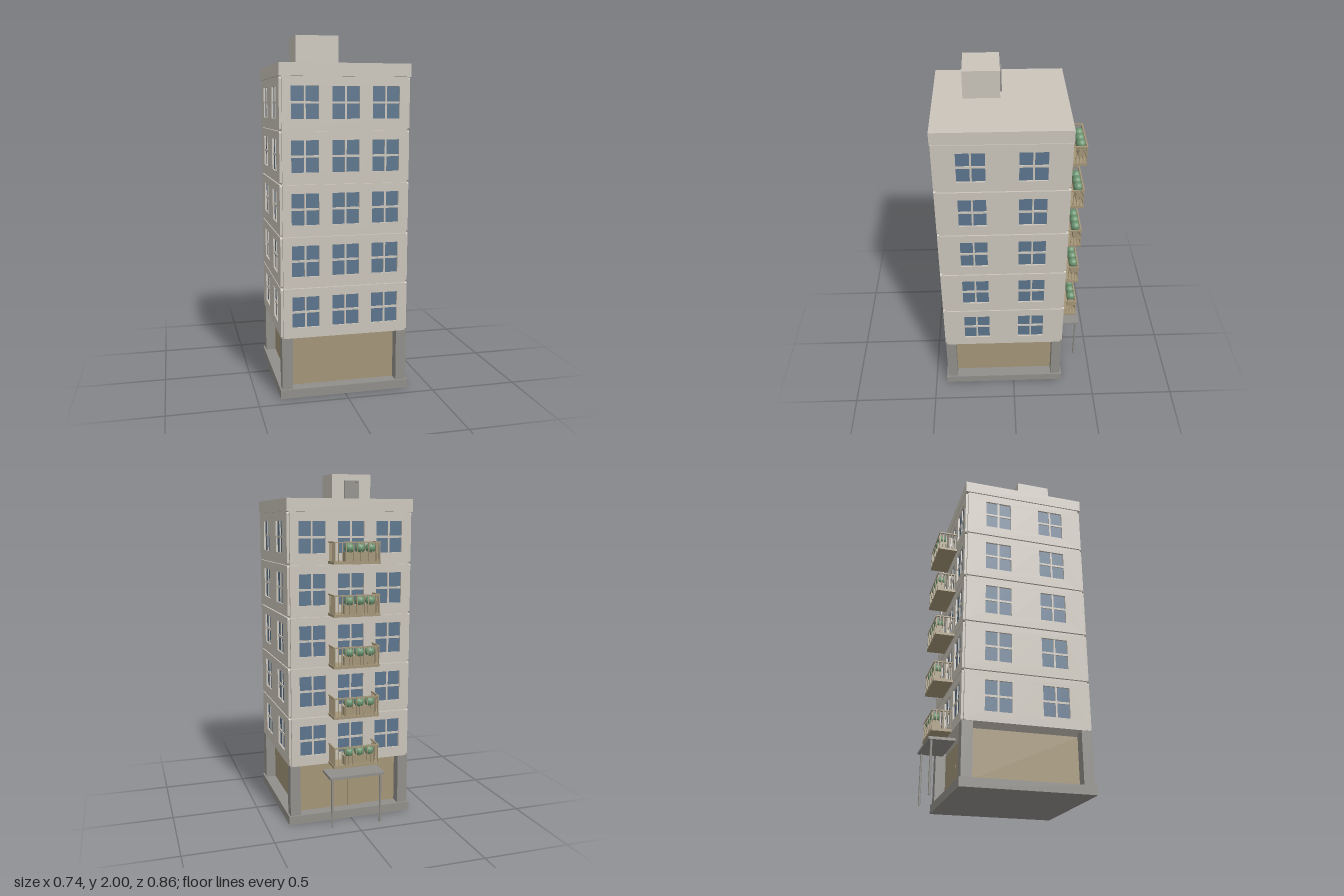
import * as THREE from 'three';

const mat = (name, color) => {
  const m = new THREE.MeshStandardMaterial({ color });
  m.name = name;
  return m;
};

export function createModel() {
  const wall = mat('wall', 0xcac4ba);
  const concrete = mat('concrete', 0x918f8a);
  const tan = mat('tan', 0xa39578);
  const glass = mat('glass', 0x5b748c);
  const leaf = mat('leaf', 0x6a9470);

  const root = new THREE.Group();
  root.name = 'apartmentTower';

  const group = (parent, name) => {
    const g = new THREE.Group();
    g.name = name;
    parent.add(g);
    return g;
  };
  const add = (parent, name, geo, m, x, y, z) => {
    const mesh = new THREE.Mesh(geo, m);
    mesh.name = name;
    mesh.position.set(x, y, z);
    parent.add(mesh);
    return mesh;
  };
  // Box given by its min and max on each axis
  const box = (parent, name, m, x0, x1, y0, y1, z0, z1) =>
    add(parent, name, new THREE.BoxGeometry(x1 - x0, y1 - y0, z1 - z0), m,
      (x0 + x1) / 2, (y0 + y1) / 2, (z0 + z1) / 2);

  // Building block, centred on its own axis
  const tower = group(root, 'tower');
  tower.position.z = 0.06;
  box(tower, 'base', concrete, -0.37, 0.37, 0, 0.05, -0.37, 0.37);
  box(tower, 'lobby', tan, -0.3, 0.3, 0.05, 0.325, -0.3, 0.3);
  for (const sx of [-1, 1]) for (const sz of [-1, 1]) {
    add(tower, 'cornerColumn', new THREE.BoxGeometry(0.06, 0.295, 0.06), concrete, sx * 0.33, 0.1975, sz * 0.33);
  }
  box(tower, 'core', wall, -0.35, 0.35, 0.345, 1.78, -0.35, 0.35);
  box(tower, 'parapet', wall, -0.365, 0.365, 1.775, 1.845, -0.365, 0.365);

  // Rounded storey panel with window openings
  const W = 0.7, H = 0.28, WIN_W = 0.152, WIN_H = 0.174, WIN_Y = 0.146;
  const panelGeometry = (xs) => {
    const s = new THREE.Shape(), a = W / 2, r = 0.01;
    s.moveTo(-a + r, 0);
    s.lineTo(a - r, 0);
    s.quadraticCurveTo(a, 0, a, r);
    s.lineTo(a, H - r);
    s.quadraticCurveTo(a, H, a - r, H);
    s.lineTo(-a + r, H);
    s.quadraticCurveTo(-a, H, -a, H - r);
    s.lineTo(-a, r);
    s.quadraticCurveTo(-a, 0, -a + r, 0);
    for (const x of xs) {
      const h = new THREE.Path();
      const l = x - WIN_W / 2, t = WIN_Y + WIN_H / 2;
      h.moveTo(l, t - WIN_H);
      h.lineTo(l, t);
      h.lineTo(l + WIN_W, t);
      h.lineTo(l + WIN_W, t - WIN_H);
      h.closePath();
      s.holes.push(h);
    }
    return new THREE.ExtrudeGeometry(s, { depth: 0.013, bevelEnabled: false, curveSegments: 4 });
  };
  const wideXs = [-0.225, 0, 0.225], sideXs = [-0.163, 0.163];
  const wideGeo = panelGeometry(wideXs), sideGeo = panelGeometry(sideXs);
  const STOREY = 0.2865, FIRST = 0.345;

  // Four facades, five storeys each
  ['front', 'left', 'back', 'right'].forEach((side, k) => {
    const facade = group(tower, side + 'Facade');
    facade.rotation.y = k * Math.PI / 2;
    const xs = k % 2 ? sideXs : wideXs;
    for (let i = 0; i < 5; i++) {
      const y = FIRST + i * STOREY, c = y + WIN_Y;
      add(facade, 'storeyPanel', k % 2 ? sideGeo : wideGeo, wall, 0, y, 0.35);
      for (const x of xs) {
        add(facade, 'windowGlass', new THREE.BoxGeometry(WIN_W, WIN_H, 0.004), glass, x, c, 0.35);
        add(facade, 'mullion', new THREE.BoxGeometry(0.01, WIN_H, 0.008), wall, x, c, 0.354);
        add(facade, 'transom', new THREE.BoxGeometry(WIN_W, 0.012, 0.008), wall, x, c, 0.354);
      }
    }
  });

  // Lobby double door and entrance canopy on the back
  for (const s of [-1, 1]) {
    add(root, 'lobbyDoorLeaf', new THREE.BoxGeometry(0.094, 0.19, 0.01), tan, s * 0.048, 0.145, -0.242);
    add(root, 'canopyPost', new THREE.CylinderGeometry(0.0065, 0.0065, 0.292, 12), concrete, s * 0.145, 0.146, -0.413);
  }
  box(root, 'canopy', concrete, -0.163, 0.163, 0.29, 0.305, -0.432, -0.285);

  // Balconies with railing, planter and bushes
  const barGeo = new THREE.BoxGeometry(0.005, 0.105, 0.005);
  const bushGeo = new THREE.SphereGeometry(0.029, 16, 12);
  for (let i = 0; i < 5; i++) {
    const b = group(root, 'balcony');
    b.position.y = 0.347 + i * STOREY;
    box(b, 'balconyFloor', tan, -0.134, 0.134, 0, 0.015, -0.412, -0.29);
    box(b, 'frontRail', tan, -0.134, 0.134, 0.114, 0.121, -0.412, -0.403);
    for (let j = 0; j <= 12; j++) add(b, 'baluster', barGeo, tan, -0.129 + j * 0.0215, 0.064, -0.407);
    for (const s of [-1, 1]) {
      add(b, 'sideRail', new THREE.BoxGeometry(0.009, 0.007, 0.105), tan, s * 0.1295, 0.1175, -0.3505);
      for (let j = 1; j < 6; j++) add(b, 'baluster', barGeo, tan, s * 0.129, 0.064, -0.407 + j * 0.019);
    }
    box(b, 'planter', tan, -0.112, 0.07, 0.015, 0.066, -0.401, -0.369);
    for (let j = 0; j < 3; j++) add(b, 'bush', bushGeo, leaf, -0.083 + j * 0.0615, 0.087, -0.386);
  }

  // Stair house on the roof with its framed door
  box(root, 'stairHouse', wall, -0.245, -0.003, 1.845, 2, 0.06, 0.262);
  box(root, 'roofDoor', concrete, -0.162, -0.085, 1.845, 1.955, 0.056, 0.061);
  box(root, 'doorJamb', concrete, -0.17, -0.161, 1.845, 1.963, 0.05, 0.061);
  box(root, 'doorJamb', concrete, -0.086, -0.077, 1.845, 1.963, 0.05, 0.061);
  box(root, 'doorLintel', concrete, -0.161, -0.086, 1.954, 1.963, 0.05, 0.061);

  return root;
}
